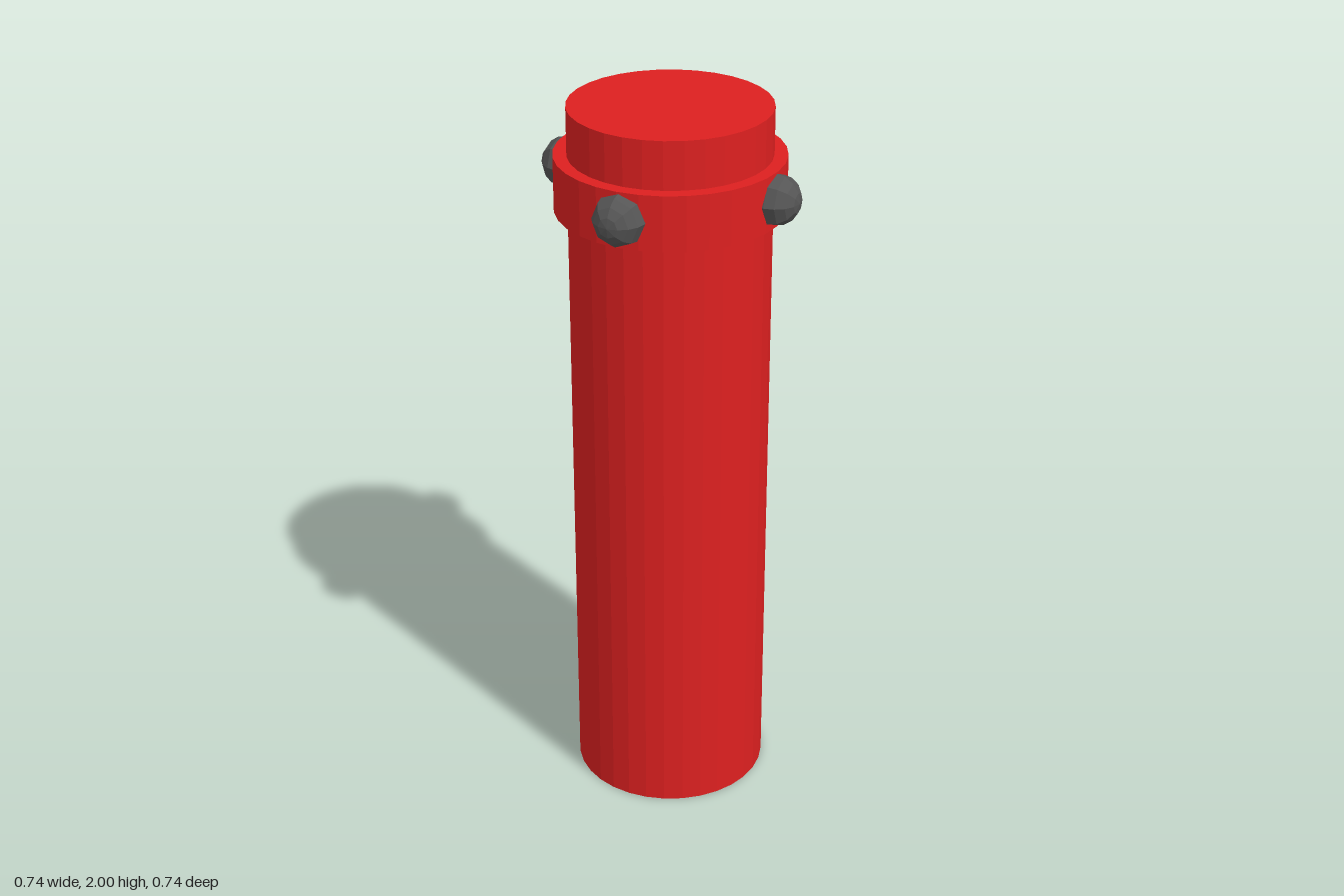
import * as THREE from 'three';

export function createModel() {
  const model = new THREE.Group();
  const red = new THREE.MeshStandardMaterial({ color: 0xdd2020, flatShading: true });
  const grey = new THREE.MeshStandardMaterial({ color: 0x555555, flatShading: true });

  // Upright cylinder from its bottom to its top
  const addCylinder = (name, radius, bottom, top) => {
    const mesh = new THREE.Mesh(new THREE.CylinderGeometry(radius, radius, top - bottom, 32), red);
    mesh.name = name;
    mesh.position.y = (bottom + top) / 2;
    model.add(mesh);
  };
  addCylinder('post', 0.269, 0, 2);
  addCylinder('collar', 0.305, 1.72, 1.87);

  // Four faceted studs around the collar, poles pointing outward
  const studGeometry = new THREE.SphereGeometry(0.071, 8, 8).rotateX(Math.PI / 2);
  const names = ['frontStud', 'leftStud', 'backStud', 'rightStud'];
  names.forEach((name, i) => {
    const angle = (i * Math.PI) / 2;
    const stud = new THREE.Mesh(studGeometry, grey);
    stud.name = name;
    // The studs sit slightly off the post's axes
    const alongZ = i % 2 === 0;
    stud.position.set(
      alongZ ? 0.006 : Math.sin(angle) * 0.298,
      1.795,
      alongZ ? Math.cos(angle) * 0.298 : 0.006
    );
    stud.rotation.y = angle;
    model.add(stud);
  });

  return model;
}
